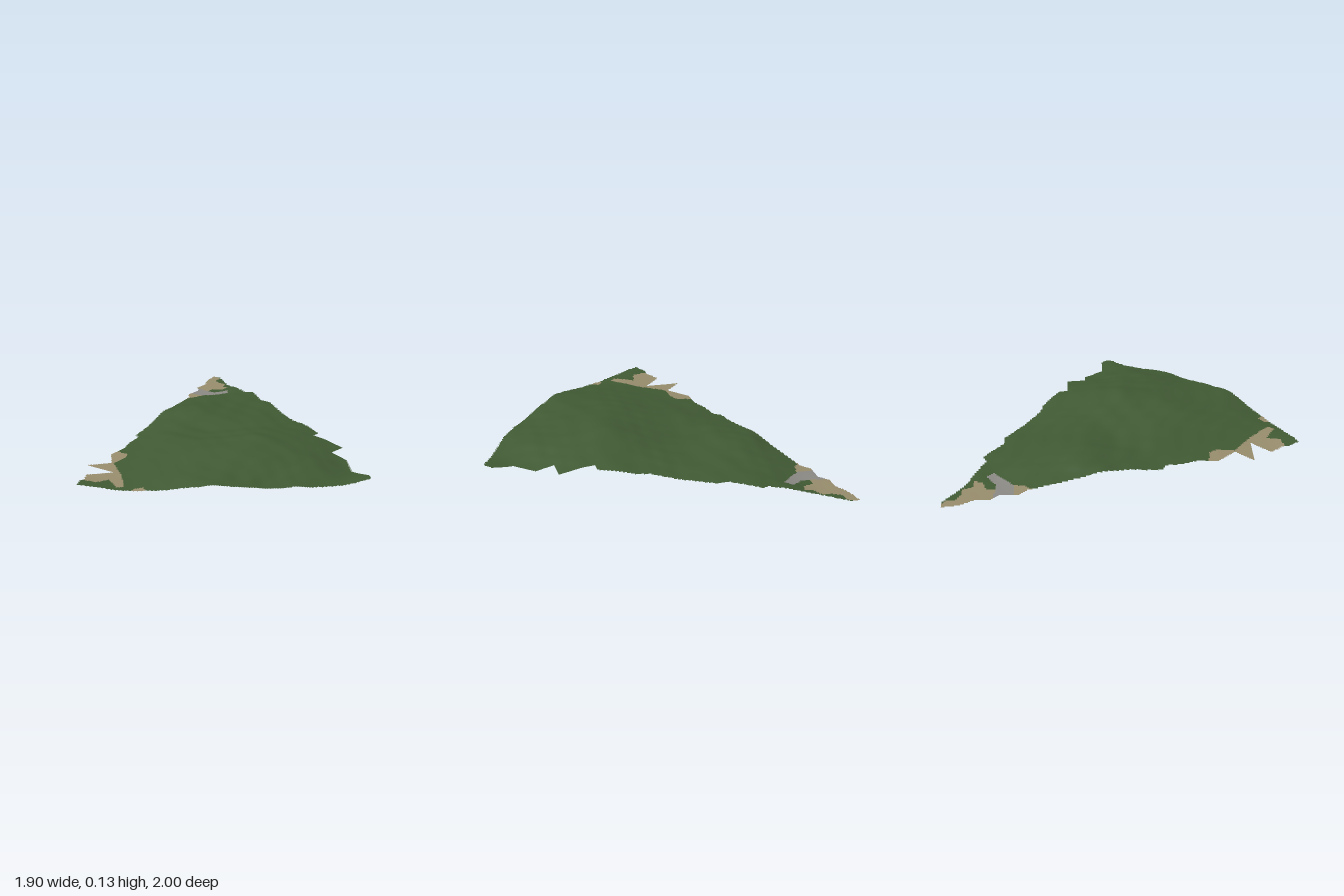
import * as THREE from 'three';

const STEP = 0.01;

// Border of the land, clockwise from the north-west tip (x, z)
const outline = [
  [-0.95, -1], [-0.9, -1], [-0.74, -0.89], [-0.5, -0.78], [-0.46, -0.8], [-0.3, -0.69], [-0.23, -0.69],
  [0.1, -0.49], [0.17, -0.48], [0.37, -0.38], [0.37, -0.33], [0.58, -0.33], [0.58, -0.22], [0.69, -0.22],
  [0.8, -0.11], [0.91, -0.11], [0.95, -0.08], [0.95, -0.06], [0.88, 0.06], [0.78, 0.23], [0.62, 0.41],
  [0.46, 0.56], [0.33, 0.68], [0.13, 0.8], [-0.07, 0.91], [-0.27, 1], [-0.31, 0.93], [-0.31, 0.9],
  [-0.36, 0.83], [-0.25, 0.72], [-0.47, 0.72], [-0.36, 0.62], [-0.47, 0.52], [-0.47, 0.4], [-0.5, 0.34],
  [-0.53, 0.21], [-0.57, 0.2], [-0.6, 0.02], [-0.7, -0.28], [-0.78, -0.54], [-0.83, -0.6], [-0.83, -0.7],
  [-0.88, -0.75], [-0.88, -0.82], [-0.93, -0.91],
];

// Bare ground and rock areas
const sandAreas = [
  [[-1, -1.05], [-0.88, -0.98], [-0.88, -0.93], [-0.82, -0.9], [-0.77, -0.9], [-0.74, -0.84], [-0.69, -0.84],
    [-0.7, -0.79], [-0.77, -0.77], [-0.77, -0.73], [-0.73, -0.62], [-0.74, -0.57], [-0.79, -0.5], [-1, -0.6]],
  [[-0.5, 0.46], [-0.38, 0.47], [-0.35, 0.52], [-0.35, 0.62], [-0.2, 0.72], [-0.05, 0.85], [-0.08, 0.88],
    [-0.2, 0.82], [-0.22, 0.9], [-0.31, 0.91], [-0.5, 0.82]],
  [[0.01, 0.84], [0.04, 0.8], [0.08, 0.82], [0.06, 0.86], [0.02, 0.87]],
];
const rockAreas = [
  [[-0.9, -0.73], [-0.72, -0.72], [-0.65, -0.77], [-0.61, -0.74], [-0.68, -0.66], [-0.74, -0.62], [-0.9, -0.62]],
];

// Surveyed spot heights (x, z, height)
const spots = [
  [-0.94, -0.99, 0.002], [-0.87, -0.85, 0.006], [-0.8, -0.65, 0.008], [-0.75, -0.85, 0.012], [-0.78, -0.53, 0.011],
  [-0.62, -0.81, 0.032], [-0.45, -0.77, 0.051], [-0.2, -0.66, 0.055], [0, -0.55, 0.058], [0.2, -0.45, 0.074],
  [0.37, -0.34, 0.083], [0.57, -0.3, 0.055], [0.69, -0.2, 0.034], [0.8, -0.1, 0.026], [0.94, -0.08, 0.038],
  [0.88, 0.05, 0.024], [0.79, 0.2, 0.032], [0.72, 0.28, 0.043], [0.6, 0.42, 0.045], [0.48, 0.53, 0.062],
  [0.35, 0.64, 0.07], [0.2, 0.75, 0.04], [0, 0.86, 0.018], [-0.26, 0.98, 0.024], [-0.32, 0.84, 0.008],
  [-0.44, 0.71, 0.006], [-0.46, 0.48, 0.01], [-0.54, 0.18, 0.015], [-0.6, 0, 0.034], [-0.66, -0.15, 0.045],
  [-0.71, -0.29, 0.026], [-0.59, -0.28, 0.07], [-0.4, -0.2, 0.077], [-0.28, -0.4, 0.069], [-0.24, -0.05, 0.051],
  [-0.33, 0.15, 0.056], [-0.05, -0.25, 0.075], [0.02, 0.03, 0.092], [0.2, 0, 0.132], [0.33, -0.14, 0.108],
  [0.38, 0.08, 0.106], [0.1, 0.27, 0.105], [-0.1, 0.42, 0.062], [0.2, 0.47, 0.08], [0.45, 0.28, 0.085],
  [0.66, 0.04, 0.073], [0.08, 0.65, 0.055], [-0.18, 0.64, 0.025], [-0.6, -0.58, 0.04], [-0.67, -0.7, 0.016],
];

const kernel = (x, z, s) => Math.sqrt((x - s[0]) ** 2 + (z - s[1]) ** 2 + 0.003);

// Weights of a smooth surface through all spot heights (Gaussian elimination)
function solveWeights() {
  const n = spots.length;
  const m = spots.map((a) => [...spots.map((b) => kernel(a[0], a[1], b)), a[2]]);
  for (let c = 0; c < n; c++) {
    let p = c;
    for (let r = c + 1; r < n; r++) if (Math.abs(m[r][c]) > Math.abs(m[p][c])) p = r;
    [m[c], m[p]] = [m[p], m[c]];
    for (let r = 0; r < n; r++) {
      if (r === c) continue;
      const f = m[r][c] / m[c][c];
      for (let k = c; k <= n; k++) m[r][k] -= f * m[c][k];
    }
  }
  return m.map((row, i) => row[n] / row[i]);
}

function inside(poly, x, z) {
  let hit = false;
  for (let i = 0, j = poly.length - 1; i < poly.length; j = i++) {
    const [ax, az] = poly[i], [bx, bz] = poly[j];
    if ((az > z) !== (bz > z) && x < ((bx - ax) * (z - az)) / (bz - az) + ax) hit = !hit;
  }
  return hit;
}

export function createModel() {
  const weights = solveWeights();

  // Smooth relief with small gullies that fade out on the low ground
  const height = (x, z) => {
    let h = 0;
    spots.forEach((s, i) => { h += weights[i] * kernel(x, z, s); });
    const gullies = Math.sin(17 * x + 9 * z + 2 * Math.sin(7 * z)) * Math.sin(13 * z - 8 * x + 1.5 * Math.sin(9 * x))
      + 0.5 * Math.sin(31 * x - 22 * z + 2 * Math.sin(11 * x)) * Math.sin(27 * z + 12 * x);
    return Math.max(0, h + 0.003 * gullies * THREE.MathUtils.clamp(h / 0.05, 0, 1));
  };

  const makeMaterial = (name, color) => {
    const material = new THREE.MeshStandardMaterial({ color, side: THREE.DoubleSide });
    material.name = name;
    return material;
  };
  const covers = [
    { name: 'grassland', material: makeMaterial('grass green', 0x415a34) },
    { name: 'bareGround', material: makeMaterial('sandy tan', 0x978c6c) },
    { name: 'rockPatch', material: makeMaterial('stone grey', 0x8b8984) },
  ];
  covers.forEach((c) => Object.assign(c, { position: [], normal: [], index: [], ids: new Map() }));

  // Vertex of the height grid, shared by neighbouring cells of one cover
  const normal = new THREE.Vector3();
  const vertex = (cover, i, k) => {
    const key = i * 1000 + k;
    if (!cover.ids.has(key)) {
      const x = -0.95 + i * STEP, z = -1 + k * STEP, e = 0.006;
      cover.ids.set(key, cover.position.length / 3);
      cover.position.push(x, height(x, z), z);
      normal.set(height(x - e, z) - height(x + e, z), 2 * e, height(x, z - e) - height(x, z + e)).normalize();
      cover.normal.push(normal.x, normal.y, normal.z);
    }
    return cover.ids.get(key);
  };

  // Fill every grid cell inside the border with its ground cover
  for (let i = 0; i < 190; i++) {
    for (let k = 0; k < 200; k++) {
      const x = -0.95 + (i + 0.5) * STEP, z = -1 + (k + 0.5) * STEP;
      if (!inside(outline, x, z)) continue;
      const isIn = (areas) => areas.some((a) => inside(a, x, z));
      const cover = covers[isIn(rockAreas) ? 2 : isIn(sandAreas) ? 1 : 0];
      const a = vertex(cover, i, k), b = vertex(cover, i, k + 1);
      const c = vertex(cover, i + 1, k + 1), d = vertex(cover, i + 1, k);
      cover.index.push(a, b, d, b, c, d);
    }
  }

  const group = new THREE.Group();
  group.name = 'terrain';
  for (const c of covers) {
    const geometry = new THREE.BufferGeometry();
    geometry.setAttribute('position', new THREE.Float32BufferAttribute(c.position, 3));
    geometry.setAttribute('normal', new THREE.Float32BufferAttribute(c.normal, 3));
    geometry.setIndex(c.index);
    const mesh = new THREE.Mesh(geometry, c.material);
    mesh.name = c.name;
    group.add(mesh);
  }
  return group;
}
